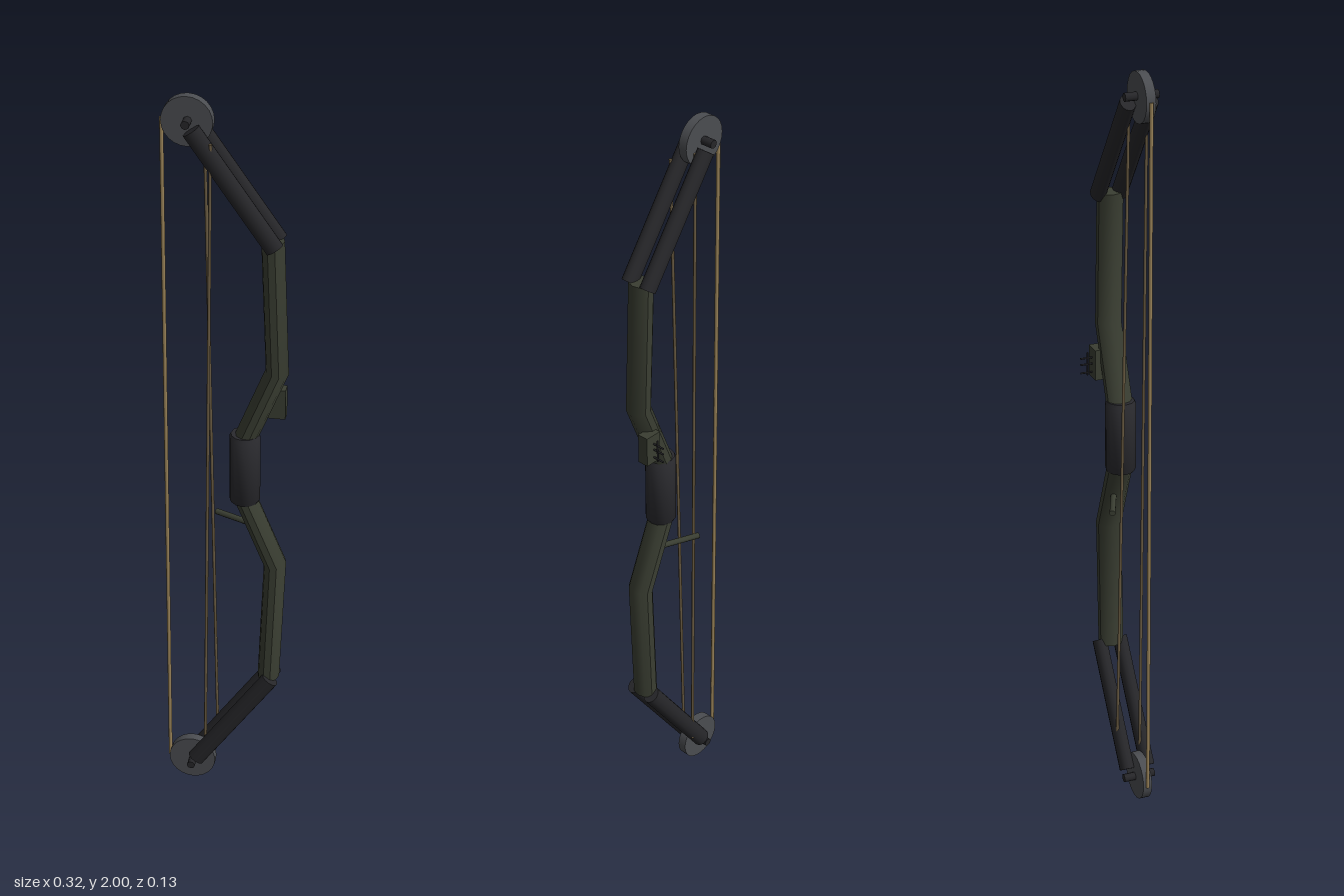
import * as THREE from 'three';
import { toCreasedNormals } from 'three/addons/utils/BufferGeometryUtils.js';

const ZC = 0.014; // plane of the bow
const mat = (color) => new THREE.MeshStandardMaterial({ color });
const riserMat = mat(0x3a3e32), limbMat = mat(0x262629), gripMat = mat(0x2a2a2e);
const camMat = mat(0x4b4d51), stringMat = mat(0x9a8358), cableMat = mat(0x6b5c42);

function add(group, name, geometry, material) {
  const mesh = new THREE.Mesh(geometry, material);
  mesh.name = name;
  group.add(mesh);
  return mesh;
}

// Straight bar between two points; depth stretches it along z
function bar(group, name, a, b, radius, material, sides = 8, depth = 1) {
  const from = new THREE.Vector3(...a), to = new THREE.Vector3(...b);
  const dir = to.clone().sub(from);
  const geometry = new THREE.CylinderGeometry(radius, radius, dir.length(), sides);
  geometry.scale(1, 1, depth);
  const mesh = add(group, name, geometry, material);
  mesh.position.copy(from).add(to).multiplyScalar(0.5);
  mesh.quaternion.setFromUnitVectors(new THREE.Vector3(0, 1, 0), dir.normalize());
  return mesh;
}

// Oval section swept along a path in the xy plane, with mitred corners
function mitredSweep(points, halfWidth, halfDepth, sides = 10) {
  const path = points.map(([x, y]) => new THREE.Vector2(x, y));
  const last = path.length - 1, pos = [], index = [];
  const dirs = path.slice(1).map((p, i) => p.clone().sub(path[i]).normalize());
  path.forEach((p, i) => {
    const before = dirs[Math.max(i - 1, 0)], after = dirs[Math.min(i, last - 1)];
    const t = before.clone().add(after).normalize();
    const w = halfWidth / t.dot(after);
    for (let j = 0; j < sides; j++) {
      const angle = (j / sides) * Math.PI * 2;
      const s = w * Math.cos(angle);
      pos.push(p.x - t.y * s, p.y + t.x * s, ZC + halfDepth * Math.sin(angle));
    }
  });
  const start = pos.length / 3;
  pos.push(path[0].x, path[0].y, ZC, path[last].x, path[last].y, ZC);
  for (let j = 0; j < sides; j++) {
    const k = (j + 1) % sides;
    for (let i = 0; i < last; i++) {
      const a = i * sides + j, b = i * sides + k;
      index.push(a, b, b + sides, a, b + sides, a + sides);
    }
    index.push(start, k, j, start + 1, last * sides + j, last * sides + k);
  }
  const geometry = new THREE.BufferGeometry();
  geometry.setAttribute('position', new THREE.Float32BufferAttribute(pos, 3));
  geometry.setIndex(index);
  return toCreasedNormals(geometry, 0.7);
}

export function createModel() {
  const bow = new THREE.Group();
  bow.name = 'compoundBow';

  // Riser arms above and below the grip
  add(bow, 'upperRiser', mitredSweep([[0.045, 1.08], [0.127, 1.285], [0.113, 1.64]], 0.029, 0.034), riserMat);
  add(bow, 'lowerRiser', mitredSweep([[0.113, 0.363], [0.127, 0.72], [0.045, 0.92]], 0.029, 0.034), riserMat);

  // Grip with slightly bevelled ends
  const grip = add(bow, 'grip', toCreasedNormals(new THREE.LatheGeometry([
    [0, -0.098], [0.036, -0.098], [0.04, -0.09], [0.04, 0.09], [0.036, 0.098], [0, 0.098],
  ].map(([r, y]) => new THREE.Vector2(r, y)), 12), 0.7), gripMat);
  grip.position.set(0.047, 1.003, ZC + 0.002);

  // Upper and lower ends: paired limbs, wheel and axle
  for (const side of [1, -1]) {
    const end = new THREE.Group();
    end.name = side > 0 ? 'upperEnd' : 'lowerEnd';
    bow.add(end);
    const y = (h) => 1 + side * h;
    for (const offset of [-0.029, 0.029]) {
      const z = ZC + offset;
      bar(end, 'limb', [0.122, y(0.632), z], [-0.08, y(0.922), z], 0.024, limbMat, 12, 0.8);
    }
    const wheel = add(end, 'wheel', new THREE.CylinderGeometry(0.063, 0.063, 0.024, 24), camMat);
    wheel.rotation.x = Math.PI / 2;
    wheel.position.set(-0.094, y(0.937), ZC);
    bar(end, 'axle', [-0.092, y(0.94), ZC - 0.043], [-0.092, y(0.94), ZC + 0.043], 0.011, limbMat);
  }

  // Bowstring and the two crossing cables
  bar(bow, 'bowstring', [-0.157, 0.06, ZC], [-0.157, 1.94, ZC], 0.005, stringMat);
  bar(bow, 'cable', [-0.057, 0.08, 0.03], [-0.032, 1.895, 0.053], 0.004, cableMat);
  bar(bow, 'cable', [-0.032, 0.115, -0.025], [-0.057, 1.92, -0.003], 0.004, cableMat);

  // Cable guard rod
  bar(bow, 'cableGuard', [0.065, 0.827, 0.004], [-0.037, 0.827, -0.039], 0.008, riserMat);

  // Sight block with its pins
  const sight = new THREE.Group();
  sight.name = 'sight';
  bow.add(sight);
  add(sight, 'sightBlock', new THREE.BoxGeometry(0.046, 0.082, 0.03), riserMat).position.set(0.123, 1.182, -0.017);
  for (const y of [1.157, 1.18, 1.197]) {
    bar(sight, 'sightPin', [0.122, y, -0.03], [0.122, y, -0.064], 0.0025, limbMat);
  }
  bar(sight, 'sightPost', [0.122, 1.15, -0.045], [0.122, 1.212, -0.045], 0.0025, limbMat);

  return bow;
}
